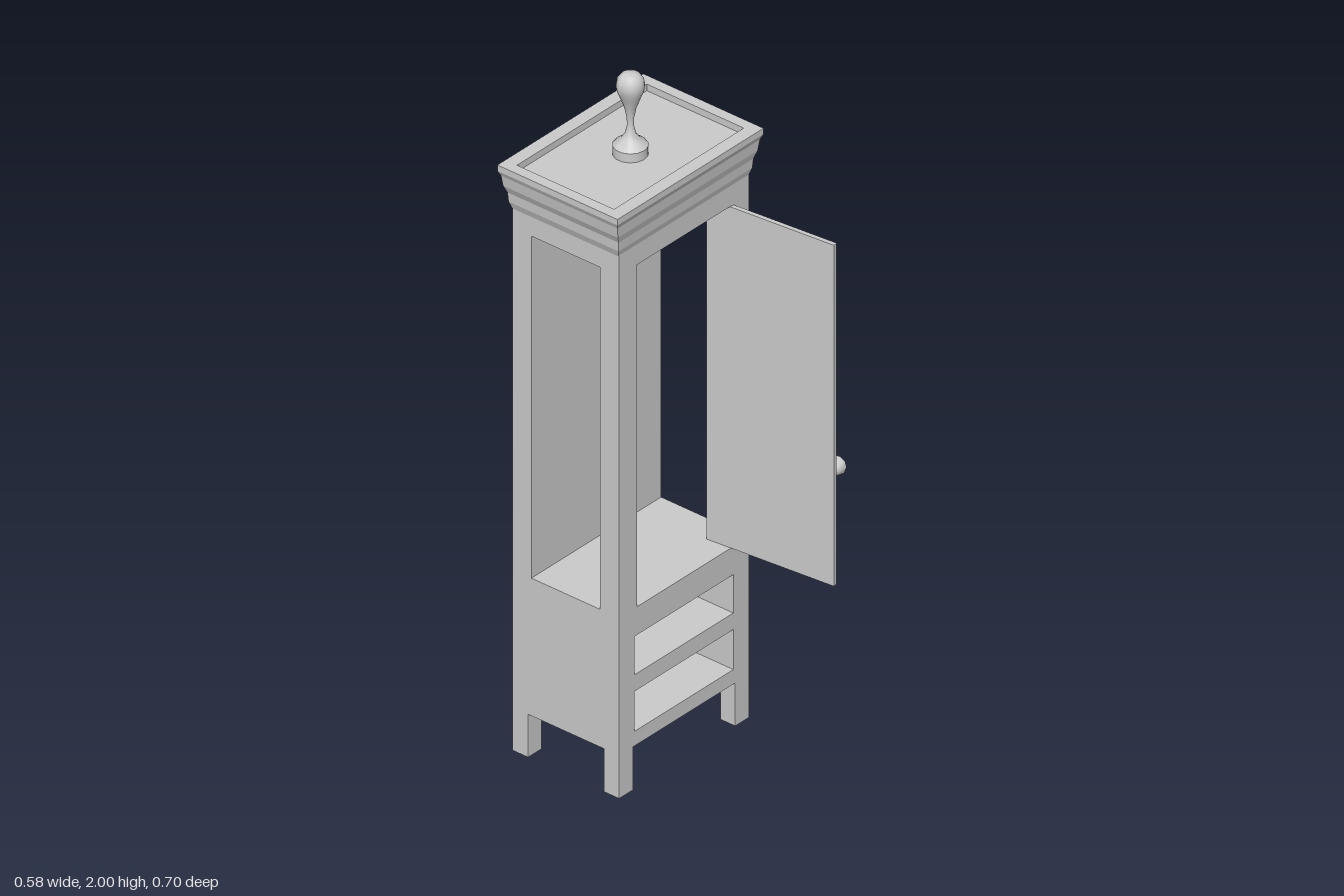
import * as THREE from 'three';
import { toCreasedNormals } from 'three/addons/utils/BufferGeometryUtils.js';

const material = new THREE.MeshStandardMaterial({ color: 0xcccccc });

// Outer body limits and inner cabinet limits
const X = 0.256, ZF = 0.03, ZB = -0.328;
const IX = 0.185, IZF = -0.034, IZB = -0.265;

function add(parent, name, geometry) {
  const mesh = new THREE.Mesh(geometry, material);
  mesh.name = name;
  parent.add(mesh);
  return mesh;
}

// Box given by its limits on each axis
function block(parent, name, x0, x1, y0, y1, z0, z1) {
  const mesh = add(parent, name, new THREE.BoxGeometry(x1 - x0, y1 - y0, z1 - z0));
  mesh.position.set((x0 + x1) / 2, (y0 + y1) / 2, (z0 + z1) / 2);
  return mesh;
}

function turned(points, sides) {
  const profile = points.map(([r, y]) => new THREE.Vector2(r, y));
  return toCreasedNormals(new THREE.LatheGeometry(profile, sides), 0.7);
}

// Rectangular moulding: each profile row is [half width, half depth, y]
function moulding(profile) {
  const corners = [[1, 1], [1, -1], [-1, -1], [-1, 1]];
  const at = ([w, d, y], k) => [corners[k % 4][0] * w, y, corners[k % 4][1] * d];
  const positions = [];
  for (let i = 0; i < profile.length - 1; i++) {
    for (let k = 0; k < 4; k++) {
      const a = at(profile[i], k), b = at(profile[i], k + 1);
      const c = at(profile[i + 1], k + 1), d = at(profile[i + 1], k);
      positions.push(...a, ...b, ...c, ...a, ...c, ...d);
    }
  }
  const geometry = new THREE.BufferGeometry();
  geometry.setAttribute('position', new THREE.Float32BufferAttribute(positions, 3));
  geometry.computeVertexNormals();
  return geometry;
}

export function createModel() {
  const model = new THREE.Group();
  model.name = 'cabinet';

  // Legs
  for (const s of [-1, 1]) {
    const x0 = Math.min(s * X, s * 0.202), x1 = Math.max(s * X, s * 0.202);
    block(model, 'frontLeg', x0, x1, 0, 0.13, -0.02, ZF);
    block(model, 'backLeg', x0, x1, 0, 0.13, ZB, -0.276);
  }

  // Horizontal boards between the openings
  block(model, 'bottomBoard', -X, X, 0.13, 0.174, ZB, ZF);
  block(model, 'drawerDivider', -X, X, 0.295, 0.345, ZB, ZF);
  block(model, 'cabinetFloor', -X, X, 0.461, 0.546, ZB, ZF);
  block(model, 'cabinetTop', -X, X, 1.58, 1.755, ZB, ZF);

  // Drawer slots, open at the front
  for (const [y0, y1] of [[0.174, 0.295], [0.345, 0.461]]) {
    block(model, 'drawerSlotBack', -X, X, y0, y1, ZB, -0.29);
    block(model, 'drawerSlotSide', -X, -0.195, y0, y1, -0.29, ZF);
    block(model, 'drawerSlotSide', 0.195, X, y0, y1, -0.29, ZF);
  }

  // Back wall and front posts leave the front and both sides open
  block(model, 'backWall', -X, X, 0.546, 1.58, ZB, IZB);
  block(model, 'frontPost', -X, -IX, 0.546, 1.58, IZF, ZF);
  block(model, 'frontPost', IX, X, 0.546, 1.58, IZF, ZF);

  // Stepped cornice with a shallow tray on top
  const cornice = add(model, 'cornice', moulding([
    [0.256, 0.179, 1.638], [0.264, 0.185, 1.66], [0.266, 0.187, 1.688],
    [0.276, 0.193, 1.71], [0.281, 0.196, 1.742], [0.288, 0.202, 1.757],
    [0.288, 0.202, 1.775], [0.256, 0.163, 1.775], [0.256, 0.163, 1.755],
  ]));
  cornice.position.z = -0.15;

  // Finial
  const finial = add(model, 'finial', turned([
    [0.047, 1.755], [0.047, 1.782], [0.04, 1.79], [0.026, 1.8], [0.015, 1.815],
    [0.009, 1.84], [0.01, 1.865], [0.016, 1.895], [0.027, 1.925], [0.035, 1.945],
    [0.038, 1.962], [0.035, 1.979], [0.026, 1.992], [0.014, 1.998], [0, 2],
  ], 14));
  finial.position.z = -0.15;

  // Open door with its knob
  const door = new THREE.Group();
  door.name = 'door';
  door.position.set(0.201, 0, 0.153);
  door.rotation.y = 0.0965;
  model.add(door);
  block(door, 'doorPanel', -0.0065, 0.0065, 0.548, 1.579, -0.199, 0.199);
  const knob = add(door, 'doorKnob', turned([
    [0.01, 0], [0.01, 0.018], [0.018, 0.022], [0.023, 0.03],
    [0.028, 0.046], [0.026, 0.053], [0.014, 0.056], [0, 0.056],
  ], 10));
  knob.position.set(0.0065, 0.872, 0.167);
  knob.rotation.z = -Math.PI / 2;

  return model;
}
